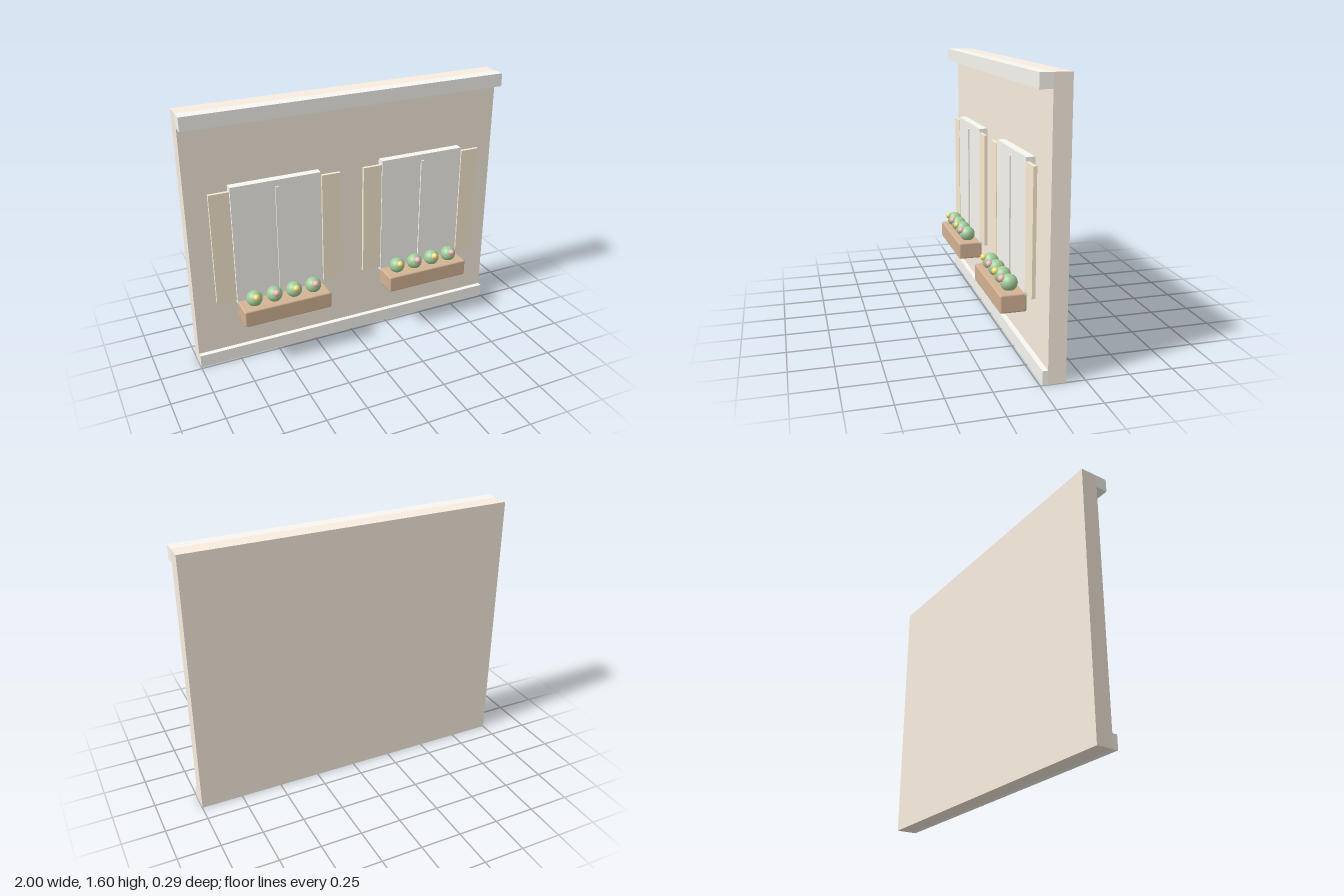
import * as THREE from 'three';
import { RoundedBoxGeometry } from 'three/addons/geometries/RoundedBoxGeometry.js';

const mat = (color) => new THREE.MeshStandardMaterial({ color });

function add(parent, name, geometry, material, x, y, z) {
  const mesh = new THREE.Mesh(geometry, material);
  mesh.name = name;
  mesh.position.set(x, y, z);
  parent.add(mesh);
  return mesh;
}

// Box given by its limits on each axis, optionally with bevelled edges
function block(parent, name, material, [x0, x1], [y0, y1], [z0, z1], bevel = 0) {
  const size = [x1 - x0, y1 - y0, z1 - z0];
  const geometry = bevel
    ? new RoundedBoxGeometry(...size, 2, bevel)
    : new THREE.BoxGeometry(...size);
  return add(parent, name, geometry, material, (x0 + x1) / 2, (y0 + y1) / 2, (z0 + z1) / 2);
}

export function createModel() {
  const group = new THREE.Group();
  group.name = 'facadePanel';

  const stone = mat(0xf8f7f0);
  const plaster = mat(0xf9eddf);
  const shutterPaint = mat(0xfaecd2);
  const wood = mat(0xd3b394);
  const leaf = mat(0xa2cd9b);
  const petals = [mat(0xfae07c), mat(0xf6b8b8)];

  // Wall slab with projecting cornice and plinth
  block(group, 'wall', plaster, [-1, 1], [0, 1.6], [-0.143, -0.043]);
  block(group, 'cornice', stone, [-1, 1], [1.52, 1.6], [-0.043, 0.028]);
  block(group, 'plinth', stone, [-1, 1], [0, 0.08], [-0.043, -0.013]);

  const bushGeometry = new THREE.SphereGeometry(0.048, 24, 16);
  const flowerGeometry = new THREE.SphereGeometry(0.02, 16, 12);

  for (const side of [-1, 1]) {
    const bay = new THREE.Group();
    bay.name = side < 0 ? 'rightWindow' : 'leftWindow';
    bay.position.x = side * 0.475;
    group.add(bay);

    // Window panel with a slim central bar
    block(bay, 'windowPanel', stone, [-0.275, 0.275], [0.4, 1.15], [-0.043, 0.007]);
    block(bay, 'mullion', stone, [-0.01, 0.01], [0.44, 1.11], [0, 0.016]);

    // Pair of open shutters
    for (const s of [-1, 1]) {
      add(bay, 'shutter', new THREE.BoxGeometry(0.12, 0.7, 0.02), shutterPaint, s * 0.34, 0.777, -0.001);
    }

    // Planter with a row of bushes and alternating blooms
    block(bay, 'planter', wood, [-0.275, 0.275], [0.308, 0.413], [-0.006, 0.143], 0.01);
    for (let i = 0; i < 4; i++) {
      const x = (i - 1.5) * 0.125 - 0.002;
      add(bay, 'bush', bushGeometry, leaf, x, 0.45, 0.068);
      add(bay, 'flower', flowerGeometry, petals[i % 2], x, 0.476, 0.11);
    }
  }
  return group;
}
